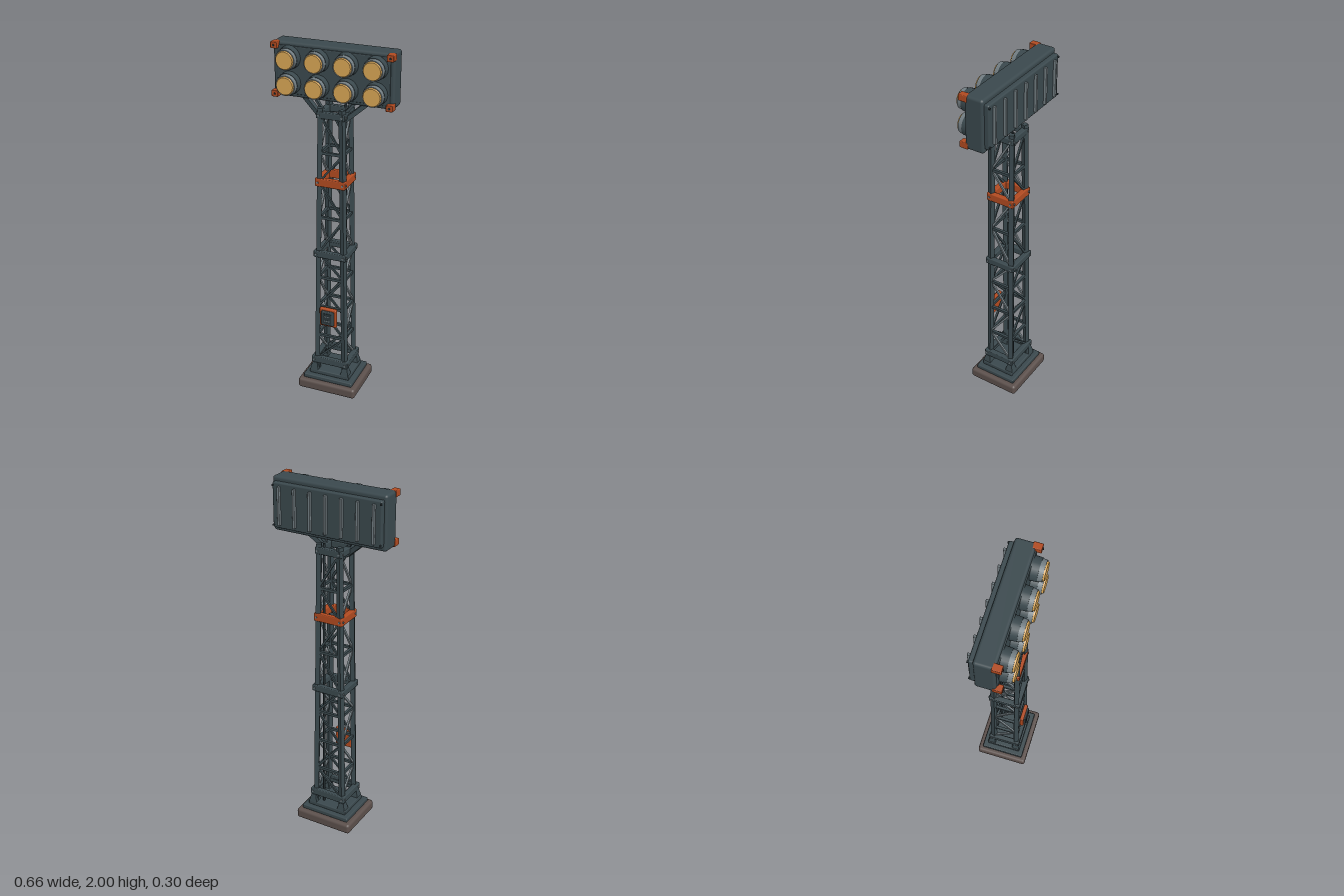
import * as THREE from 'three';
import { RoundedBoxGeometry } from 'three/addons/geometries/RoundedBoxGeometry.js';

const mat = (name, color) => {
  const m = new THREE.MeshStandardMaterial({ color });
  m.name = name;
  return m;
};

export function createModel() {
  const slate = mat('slate paint', 0x3a484d);
  const dark = mat('dark rubber', 0x2a3438);
  const steel = mat('bare steel', 0x737e83);
  const orange = mat('safety orange', 0xb04a20);
  const amber = mat('amber lens', 0xd6a454);
  const concrete = mat('concrete', 0x5b4f4b);

  const model = new THREE.Group();
  model.name = 'floodlightTower';
  const group = (name, parent = model) => {
    const g = new THREE.Group();
    g.name = name;
    parent.add(g);
    return g;
  };
  const add = (parent, name, geo, material, x = 0, y = 0, z = 0) => {
    const m = new THREE.Mesh(geo, material);
    m.name = name;
    m.position.set(x, y, z);
    parent.add(m);
    return m;
  };
  const box = (parent, name, material, w, h, d, x, y, z, r = 0) => add(parent, name,
    r ? new RoundedBoxGeometry(w, h, d, 2, r) : new THREE.BoxGeometry(w, h, d), material, x, y, z);
  // Cylinder lying along z
  const disc = (parent, name, material, rBack, rFront, d, x, y, z, sides = 24) => add(parent, name,
    new THREE.CylinderGeometry(rFront, rBack, d, sides).rotateX(Math.PI / 2), material, x, y, z);
  // Square or round bar between two points
  const bar = (parent, name, material, a, b, t, round = false) => {
    const len = a.distanceTo(b);
    const geo = round ? new THREE.CylinderGeometry(t / 2, t / 2, len, 8).rotateX(Math.PI / 2)
      : new THREE.BoxGeometry(t, t, len);
    const m = add(parent, name, geo, material);
    m.position.copy(a).add(b).multiplyScalar(0.5);
    m.lookAt(b);
    return m;
  };
  const V = (x, y, z) => new THREE.Vector3(x, y, z);
  const SIDES = [-1, 1];

  // Stepped base
  const base = group('base');
  box(base, 'footing', concrete, 0.345, 0.06, 0.3, 0, 0.03, 0, 0.016);
  box(base, 'lowerPlate', slate, 0.294, 0.026, 0.25, 0, 0.072, 0, 0.006);
  box(base, 'upperPlate', slate, 0.24, 0.026, 0.2, 0, 0.097, 0, 0.006);

  // Four tapering legs with flared feet
  const mast = group('mast');
  const corner = (y, sx, sz) => {
    const t = (y - 0.11) / 1.57;
    return V(sx * (0.084 - 0.024 * t), y, sz * (0.07 - 0.01 * t));
  };
  for (const sx of SIDES) for (const sz of SIDES) {
    bar(mast, 'leg', slate, corner(0.1, sx, sz), corner(1.685, sx, sz), 0.026);
    const p = corner(0.13, sx, sz);
    const foot = new THREE.CylinderGeometry(0.02, 0.034, 0.045, 4).rotateY(Math.PI / 4);
    foot.deleteAttribute('normal');
    const flat = foot.toNonIndexed();
    flat.computeVertexNormals();
    add(mast, 'foot', flat, slate, p.x + sx * 0.008, p.y, p.z + sz * 0.006);
  }

  // Lattice: horizontals and zigzag diagonals on all four faces
  const levels = [0.175, 0.335, 0.52, 0.705, 0.855, 1.07, 1.275, 1.44, 1.648];
  const faces = [[[-1, 1], [1, 1]], [[-1, -1], [1, -1]], [[1, 1], [1, -1]], [[-1, 1], [-1, -1]]];
  for (const [a, b] of faces) {
    levels.forEach((y, i) => {
      bar(mast, 'crossbar', slate, corner(y, ...a), corner(y, ...b), 0.015);
      if (i === levels.length - 1) return;
      const isFront = a[1] === b[1];
      const up = (i % 2 === 0) === isFront || i === levels.length - 2 && !isFront;
      const [p, q] = up ? [a, b] : [b, a];
      bar(mast, 'diagonalBrace', isFront ? slate : steel,
        corner(y, ...p), corner(levels[i + 1], ...q), 0.011);
    });
  }
  bar(mast, 'conduit', dark, V(0.04, 0.11, -0.058), V(0.036, 1.685, -0.05), 0.013, true);

  // Frame collars with corner bolts
  const collar = (name, material, y, hx, hz, h) => {
    const g = group(name, mast);
    const t = 0.03;
    for (const s of SIDES) {
      box(g, 'collarFront', material, hx * 2, h, t, 0, y, s * (hz - t / 2), 0.005);
      box(g, 'collarSide', material, t, h, hz * 2, s * (hx - t / 2), y, 0, 0.005);
      for (const u of SIDES) {
        disc(g, 'bolt', steel, 0.006, 0.006, 0.006, u * (hx - 0.015), y, s * (hz + 0.001), 6);
        disc(g, 'sideBolt', steel, 0.006, 0.006, 0.006, 0, 0, 0, 6).rotation.y = Math.PI / 2;
        g.children[g.children.length - 1].position.set(s * (hx + 0.001), y, u * (hz - 0.015));
      }
    }
  };
  collar('bottomCollar', slate, 0.175, 0.109, 0.094, 0.04);
  collar('middleCollar', slate, 0.855, 0.094, 0.089, 0.038);
  collar('warningCollar', orange, 1.277, 0.085, 0.081, 0.045);
  collar('topCollar', slate, 1.648, 0.079, 0.075, 0.036);

  // Control box on the front of the mast
  const control = group('controlBox');
  box(control, 'backPlate', orange, 0.1, 0.112, 0.022, -0.005, 0.475, 0.092, 0.006);
  box(control, 'cabinet', slate, 0.074, 0.088, 0.022, -0.005, 0.475, 0.102, 0.005);
  box(control, 'door', dark, 0.05, 0.062, 0.004, -0.005, 0.475, 0.114);
  for (const s of SIDES) box(control, 'louvre', steel, 0.034, 0.005, 0.003, -0.005, 0.475 + s * 0.014, 0.1165);

  // Arms that carry the lamp head
  const support = group('headSupport');
  for (const s of SIDES) {
    bar(support, 'arm', slate, V(s * 0.175, 1.72, 0), V(s * 0.05, 1.612, 0.032), 0.024);
    bar(support, 'innerArm', slate, V(s * 0.11, 1.715, 0.005), V(s * 0.062, 1.66, 0.02), 0.014);
  }

  // Lamp head housing
  const head = group('lampHead');
  const cy = 1.856;
  box(head, 'housing', slate, 0.654, 0.288, 0.105, 0, cy, -0.0175, 0.014);
  box(head, 'frontPanel', slate, 0.61, 0.25, 0.016, 0, cy, 0.034, 0.005);
  box(head, 'backCover', slate, 0.626, 0.24, 0.04, 0, cy, -0.075, 0.008);
  for (let i = -3; i <= 3; i++) box(head, 'coolingRib', steel, 0.014, 0.205, 0.02, i * 0.0905, cy, -0.1, 0.003);
  for (const sx of SIDES) for (const sy of SIDES) {
    box(head, 'cornerBracket', orange, 0.037, 0.034, 0.048, sx * 0.311, cy + sy * 0.127, 0.042, 0.004);
    disc(head, 'frontBolt', dark, 0.006, 0.006, 0.006, sx * 0.311, cy + sy * 0.127, 0.068, 6);
    disc(head, 'backBolt', dark, 0.006, 0.006, 0.008, sx * 0.308, cy + sy * 0.105, -0.097, 6);
  }

  // Two rows of four lamps
  for (const y of [1.79, 1.923]) for (const x of [-0.234, -0.078, 0.078, 0.234]) {
    const lamp = group('lamp', head);
    disc(lamp, 'lampBarrel', slate, 0.061, 0.058, 0.042, x, y, 0.058);
    disc(lamp, 'lampRing', steel, 0.056, 0.053, 0.025, x, y, 0.09);
    disc(lamp, 'lens', amber, 0.049, 0.045, 0.009, x, y, 0.1065);
  }
  return model;
}
